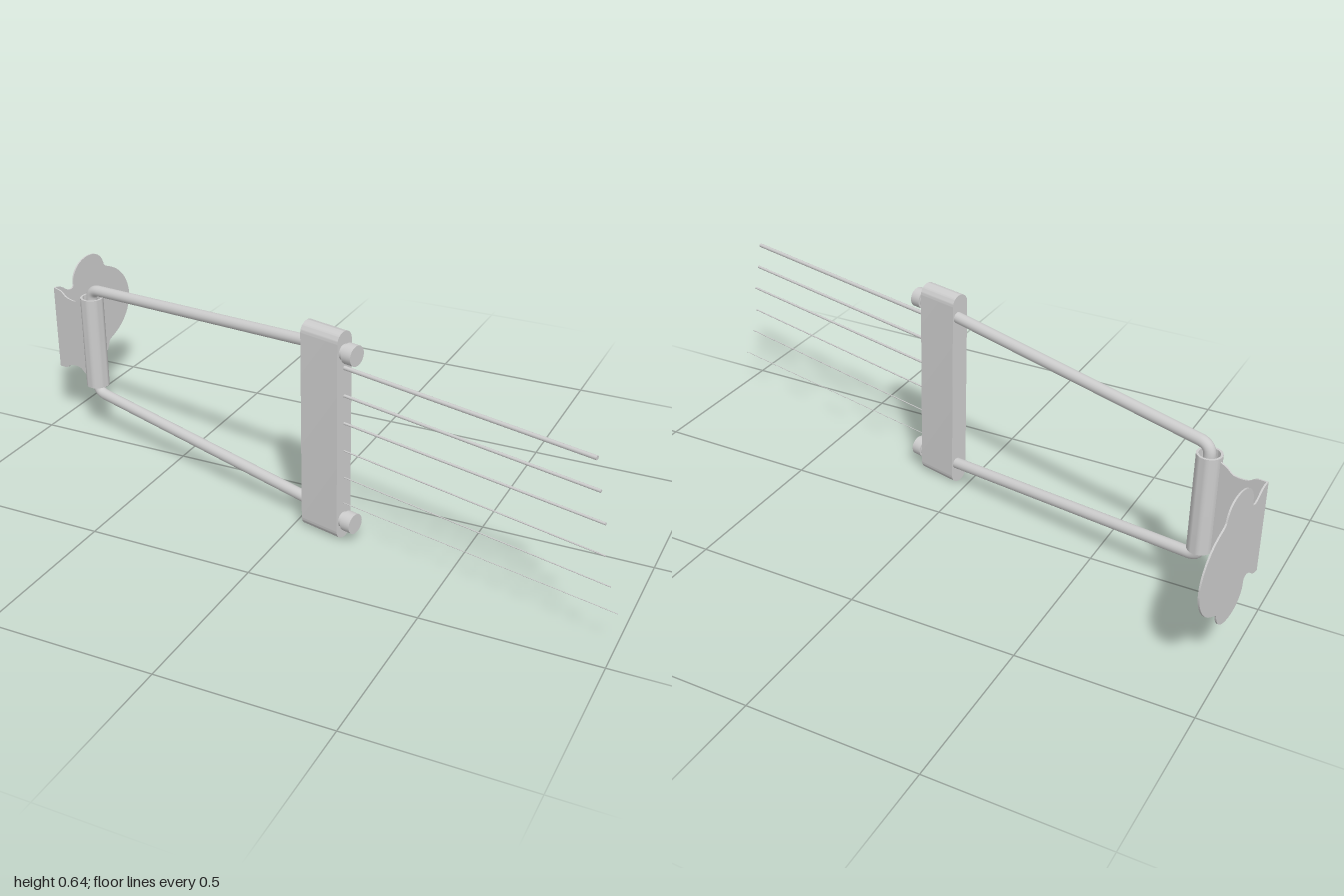
import * as THREE from 'three';
import { toCreasedNormals } from 'three/addons/utils/BufferGeometryUtils.js';

const MID = 0.32; // height of the mirror plane
const TILT = Math.atan(0.25); // yaw of the frame
const material = new THREE.MeshStandardMaterial({ color: 0xcccccc, side: THREE.DoubleSide });

function add(parent, name, geometry) {
  const mesh = new THREE.Mesh(geometry, material);
  mesh.name = name;
  parent.add(mesh);
  return mesh;
}

// Cylinder between two points
function rod(a, b, radius, sides = 24) {
  const dir = b.clone().sub(a);
  const g = new THREE.CylinderGeometry(radius, radius, dir.length(), sides);
  g.applyQuaternion(new THREE.Quaternion().setFromUnitVectors(new THREE.Vector3(0, 1, 0), dir.clone().normalize()));
  return g.translate(...a.clone().add(b).multiplyScalar(0.5).toArray());
}

// Closed outline mirrored about y = 0, made into thin sheet
function sheet(upper, thickness) {
  const lower = upper.map(p => new THREE.Vector2(p.x, -p.y)).reverse();
  const shape = new THREE.Shape([...upper, ...lower]);
  const g = new THREE.ExtrudeGeometry(shape, { depth: thickness, bevelEnabled: false });
  return toCreasedNormals(g.translate(0, 0, -thickness / 2), 0.6);
}

export function createModel() {
  const model = new THREE.Group();
  model.name = 'tailpiece';
  const v = (x, y, z = 0) => new THREE.Vector3(x, y, z);

  // Tilted frame with its origin at the middle of the hinge
  const frame = new THREE.Group();
  frame.name = 'frame';
  frame.position.set(-0.828, MID, -0.037);
  frame.rotation.y = -TILT;
  model.add(frame);

  // Hollow hinge barrel
  const ring = [[0.029, -0.15], [0.036, -0.15], [0.036, 0.15], [0.029, 0.15], [0.029, -0.15]];
  const barrel = new THREE.LatheGeometry(ring.map(p => new THREE.Vector2(...p)), 32);
  add(frame, 'hingeBarrel', toCreasedNormals(barrel, 0.6));

  // One bent wire running through the barrel to both ends of the bar
  const wire = new THREE.CurvePath();
  const knee = 0.176, bend = 0.035;
  wire.add(new THREE.LineCurve3(v(0.93, 0.254), v(bend, knee + 0.003)));
  wire.add(new THREE.QuadraticBezierCurve3(v(bend, knee + 0.003), v(0, knee), v(0, knee - 0.03)));
  wire.add(new THREE.LineCurve3(v(0, knee - 0.03), v(0, 0.03 - knee)));
  wire.add(new THREE.QuadraticBezierCurve3(v(0, 0.03 - knee), v(0, -knee), v(bend, -knee - 0.003)));
  wire.add(new THREE.LineCurve3(v(bend, -knee - 0.003), v(0.93, -0.254)));
  add(frame, 'wireFrame', new THREE.TubeGeometry(wire, 300, 0.017, 20));

  // String bar: a long rounded section
  const r = 0.031, half = 0.32 - r, barLength = 0.129;
  const stadium = new THREE.Shape();
  stadium.absarc(0, half, r, 0, Math.PI);
  stadium.absarc(0, -half, r, Math.PI, Math.PI * 2);
  const bar = new THREE.ExtrudeGeometry(stadium, { depth: barLength, bevelEnabled: false, curveSegments: 20 });
  bar.rotateY(Math.PI / 2).translate(0.89, 0, 0.01);
  add(frame, 'stringBar', toCreasedNormals(bar, 0.6));

  // Round nuts at both ends of the bar
  for (const side of [1, -1]) {
    const y = side * 0.26;
    add(frame, 'nutNeck', rod(v(0.98, y, 0.012), v(1.045, y, 0.012), 0.023));
    add(frame, 'nutHead', rod(v(1.032, y, 0.012), v(1.063, y, 0.012), 0.03, 32));
  }

  // Hinge plate with a shallow waist
  const plateEdge = new THREE.SplineCurve([
    [-0.177, 0.137], [-0.145, 0.133], [-0.12, 0.118], [-0.08, 0.115], [-0.055, 0.13], [-0.03, 0.14],
  ].map(p => new THREE.Vector2(...p))).getPoints(30);
  add(frame, 'hingePlate', sheet(plateEdge, 0.005));

  // Lobed mounting plate folded back from the hinge plate
  const edge = new THREE.Path();
  edge.moveTo(0, 0.137);
  edge.bezierCurveTo(0.035, 0.137, 0.045, 0.108, 0.068, 0.108);
  edge.bezierCurveTo(0.09, 0.108, 0.082, 0.125, 0.086, 0.142);
  edge.bezierCurveTo(0.096, 0.172, 0.125, 0.194, 0.166, 0.194);
  edge.bezierCurveTo(0.207, 0.194, 0.23, 0.172, 0.236, 0.142);
  edge.bezierCurveTo(0.24, 0.125, 0.29, 0.128, 0.332, 0.07);
  edge.quadraticCurveTo(0.355, 0.036, 0.355, 0.001);
  const lobes = add(model, 'mountingPlate', sheet(edge.getPoints(16), 0.005));
  lobes.position.set(-0.998, MID, -0.082);
  lobes.rotation.y = 1.453;

  // Six strings of falling thickness: height, end x, end z, radius
  const strings = [
    [0.532, 0.912, 0.421, 0.0062], [0.448, 0.93, 0.426, 0.0045], [0.364, 0.95, 0.43, 0.0037],
    [0.278, 0.958, 0.435, 0.0022], [0.194, 0.978, 0.435, 0.0016], [0.111, 1, 0.42, 0.0011],
  ];
  for (const [y, x, z, radius] of strings) {
    add(model, 'string', rod(v(0.15, y, 0.217), v(x, y, z), radius, 12));
  }
  return model;
}
